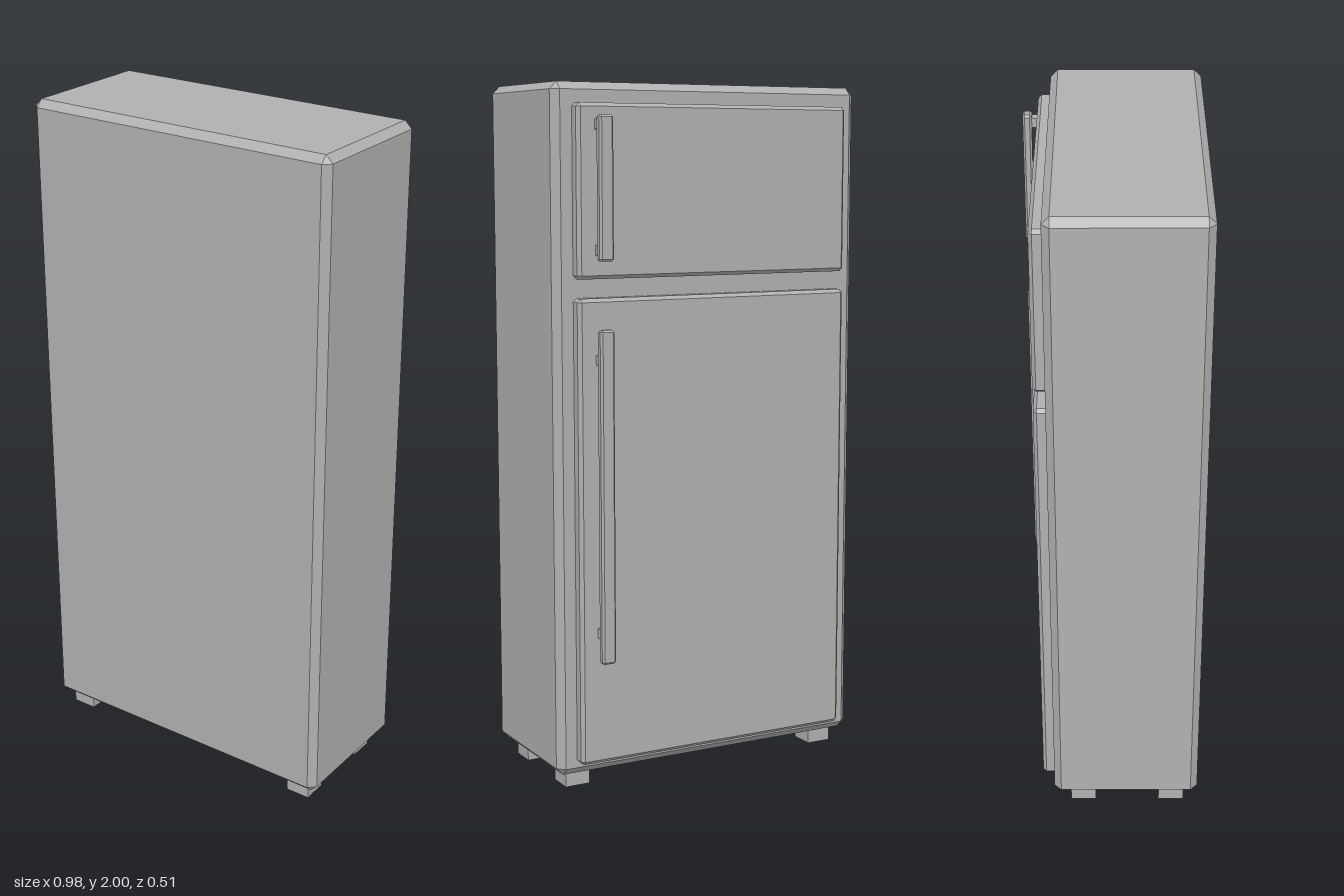
import * as THREE from 'three';
import { ConvexGeometry } from 'three/addons/geometries/ConvexGeometry.js';

// Box between two corners with every edge chamfered by c
function chamferBox(min, max, c) {
  const mid = min.map((v, i) => (v + max[i]) / 2);
  const half = min.map((v, i) => (max[i] - v) / 2);
  const pts = [];
  for (const sx of [-1, 1]) for (const sy of [-1, 1]) for (const sz of [-1, 1]) {
    const s = [sx, sy, sz];
    // one point on each of the three faces meeting at this corner
    for (let face = 0; face < 3; face++) {
      pts.push(new THREE.Vector3(...s.map((d, i) => mid[i] + d * (half[i] - (i === face ? 0 : c)))));
    }
  }
  return new ConvexGeometry(pts);
}

function plainBox(min, max) {
  const g = new THREE.BoxGeometry(...min.map((v, i) => max[i] - v));
  return g.translate(...min.map((v, i) => (v + max[i]) / 2));
}

export function createModel() {
  const grey = new THREE.MeshStandardMaterial({ color: 0xb0b0b0, flatShading: true });
  grey.name = 'grey enamel';
  const root = new THREE.Group();
  root.name = 'refrigerator';

  const add = (name, geometry, parent = root) => {
    const mesh = new THREE.Mesh(geometry, grey);
    mesh.name = name;
    parent.add(mesh);
  };

  // Cabinet
  add('cabinet', chamferBox([-0.49, 0.05, -0.178], [0.49, 2, 0.257], 0.021));

  // Feet
  for (const x of [-0.419, 0.409]) for (const z of [-0.09, 0.178]) {
    add('foot', plainBox([x - 0.038, 0, z - 0.038], [x + 0.038, 0.06, z + 0.038]));
  }

  // Doors, each with a bar handle on two posts
  const doors = [
    { name: 'freezerDoor', y: [1.465, 1.943], bar: [1.515, 1.91], posts: [1.545, 1.885] },
    { name: 'mainDoor', y: [0.085, 1.412], bar: [0.385, 1.328], posts: [0.468, 1.242] },
  ];
  for (const d of doors) {
    const door = new THREE.Group();
    door.name = d.name;
    root.add(door);
    add('doorPanel', chamferBox([-0.434, d.y[0], -0.213], [0.434, d.y[1], -0.165], 0.01), door);
    add('handleBar', chamferBox([0.345, d.bar[0], -0.257], [0.388, d.bar[1], -0.231], 0.006), door);
    for (const y of d.posts) {
      add('handlePost', plainBox([0.352, y - 0.014, -0.236], [0.382, y + 0.014, -0.208]), door);
    }
  }
  return root;
}
